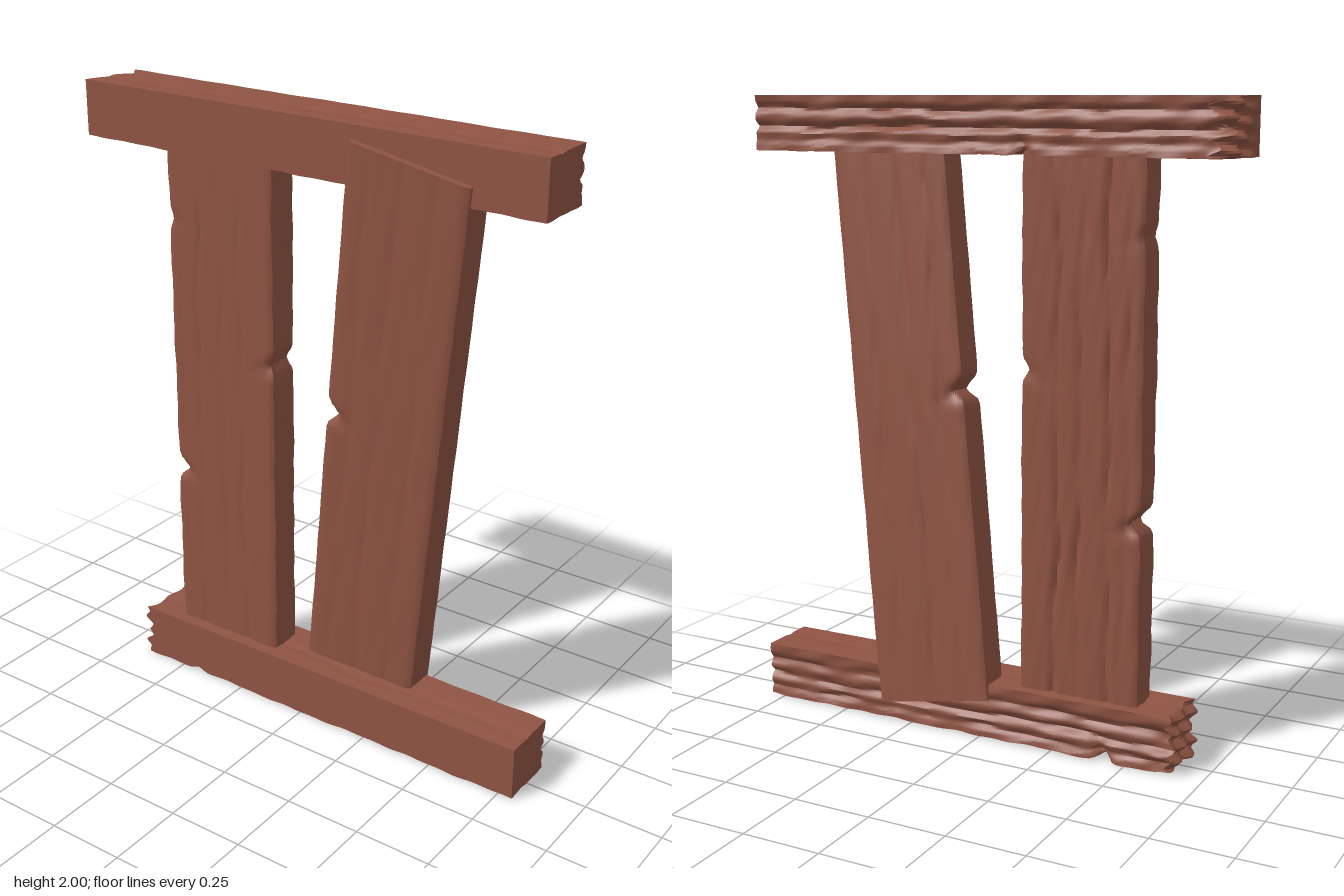
import * as THREE from 'three';
import { toCreasedNormals } from 'three/addons/utils/BufferGeometryUtils.js';

const bump = (t, width) => Math.exp(-((t / width) ** 2));
const wave = (a, b, seed) =>
  (Math.sin(a * 7.3 + b * 3.1 + seed) + Math.sin(a * 17.9 - b * 5.7 + seed * 2.3) + Math.sin(a * 37 + b * 11 + seed * 3.7)) / 3;

// Box whose vertices are moved by a rule; creases stay sharp
function timber(name, size, segments, rule) {
  const geo = new THREE.BoxGeometry(...size, ...segments);
  const pos = geo.attributes.position;
  const p = new THREE.Vector3();
  for (let i = 0; i < pos.count; i++) {
    rule(p.fromBufferAttribute(pos, i));
    pos.setXYZ(i, p.x, p.y, p.z);
  }
  geo.deleteAttribute('uv');
  const mesh = new THREE.Mesh(toCreasedNormals(geo, 0.7), new THREE.MeshStandardMaterial({ color: 0x8f5443 }));
  mesh.name = name;
  return mesh;
}

// Horizontal beam along z: grooved +x face, weathered underside, splintered -z end
function beam(name, height, length, { grooves, gouge, ragged, flare, under, seed }) {
  return timber(name, [0.2, height, length], [12, 22, 100], (p) => {
    const { x, y, z } = p;
    const side = Math.max(0, x / 0.1);
    const low = Math.max(0, -y / (height / 2));
    const end = THREE.MathUtils.smoothstep(-z, length / 2 - 0.16, length / 2);
    // long grooves wandering along the grain
    let depth = 0.004 * (1 + wave(z, y * 9, seed));
    for (const [level, d, w] of grooves) {
      depth += d * (0.75 + 0.4 * wave(z * 0.6, level * 40, seed)) * bump(y - level - 0.007 * wave(z * 0.7, level * 20, seed), w);
    }
    // knot-like gouge running up from the lower edge
    const cut = gouge.depth * bump(z - gouge.z - y * 0.3, 0.022) * low;
    p.x -= side ** 2 * (depth + cut);
    p.y += low ** 3 * (under * (1 + wave(z * 1.4, x * 8, seed + 4)) + cut * 0.7 * (0.5 + side / 2));
    // fine crack along the top
    if (y > height / 2 - 0.001) p.y -= 0.005 * bump(x + 0.02 - 0.015 * wave(z * 0.6, 0, seed), 0.01);
    // splintered end
    const tear = 0.5 + 0.5 * Math.sin(y * 95 + x * 14 + seed) * Math.cos(y * 41 - x * 37 + seed);
    p.z += end ** 3 * ragged * tear * (flare ? 1 : (x + 0.1) / 0.2);
    p.x -= flare * end * 0.012 * Math.sin(y * 60) * side;
  });
}

// Plank along y with grain on both broad faces and notches in its narrow edges
function plank(name, length, { grooves, notches, skew, wear, seed }) {
  const t = 0.122, w = 0.4;
  return timber(name, [t, length, w], [8, 110, 36], (p) => {
    const { x, y, z } = p;
    const face = x / (t / 2), edge = z / (w / 2);
    let depth = 0.002 * (1 + wave(y * 0.6, z * 12, seed));
    for (const [at, d, gw] of grooves) {
      depth += d * (0.6 + 0.5 * wave(y * 0.5, at * 30, seed)) * bump(z - at - 0.014 * wave(y * 0.4, at * 9, seed), gw);
    }
    p.x -= Math.sign(face) * face ** 2 * (face > 0 ? depth : depth * 0.45);
    p.z -= Math.sign(edge) * Math.abs(edge) ** 8 * wear * (1 + wave(y * 1.2, x * 9, seed + 2));
    // chips across the edges
    for (const [sign, at, d] of notches) {
      const e = Math.max(0, edge * sign);
      const chip = d * bump(y - at - 0.15 * (e - 1) * w, 0.025);
      p.z -= sign * chip * e ** 6;
      p.x -= face * chip * 0.6 * e ** 4;
    }
    // softened long corners
    p.x -= face * 0.008 * Math.abs(edge) ** 24;
    p.y -= skew * z * Math.abs(y / (length / 2)) ** 10;
  });
}

export function createModel() {
  const group = new THREE.Group();

  const topBeam = beam('topBeam', 0.175, 1.6, {
    grooves: [[0.045, 0.02, 0.012], [-0.008, 0.026, 0.012], [-0.05, 0.012, 0.014]],
    gouge: { z: -0.12, depth: 0.03 }, ragged: 0.09, flare: 0, under: 0.002, seed: 1.3,
  });
  topBeam.position.y = 1.9125;

  const bottomBeam = beam('bottomBeam', 0.18, 1.465, {
    grooves: [[0.04, 0.016, 0.013], [-0.012, 0.022, 0.012], [-0.055, 0.014, 0.012]],
    gouge: { z: -0.47, depth: 0.035 }, ragged: 0.04, flare: 1, under: 0.004, seed: 4.1,
  });
  bottomBeam.position.set(0, 0.09, 0.0675);

  const uprightPlank = plank('uprightPlank', 1.72, {
    grooves: [[0.08, 0.016, 0.01], [0.0, 0.012, 0.012], [-0.09, 0.016, 0.01], [-0.15, 0.008, 0.01]],
    notches: [[1, 0.19, 0.02], [-1, -0.25, 0.04], [-1, 0.6, 0.01]], skew: 0, wear: 0.003, seed: 2.2,
  });
  uprightPlank.position.set(0, 1, -0.325);

  // Loose plank, tilted sideways and across the beams
  const leaningPlank = plank('leaningPlank', 1.85, {
    grooves: [[0.1, 0.007, 0.012], [-0.02, 0.01, 0.012], [-0.12, 0.008, 0.01]],
    notches: [[-1, 0.07, 0.04]], skew: 0.06, wear: 0.001, seed: 5.6,
  });
  leaningPlank.position.set(0, 1.01, 0.269);
  leaningPlank.rotation.set(0.124, 0, 0.066);

  group.add(topBeam, bottomBeam, uprightPlank, leaningPlank);
  return group;
}
